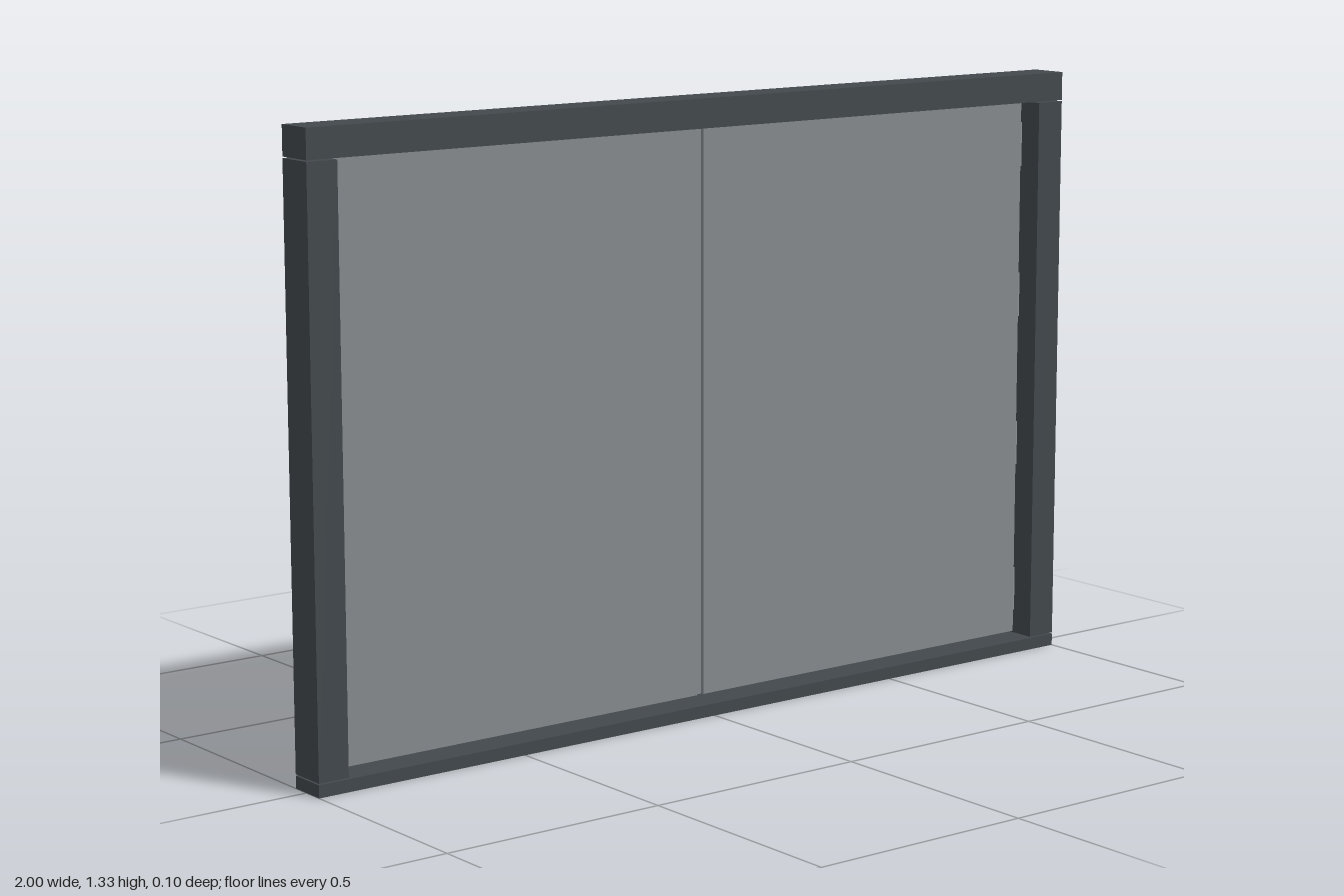
import * as THREE from 'three';

const flat = (name, color) => {
  const m = new THREE.MeshStandardMaterial({ color });
  m.name = name;
  return m;
};

export function createModel() {
  const root = new THREE.Group();
  root.name = 'doubleGate';

  const frameMat = flat('frame grey', 0x42484c);
  const panelMat = flat('panel grey', 0x858a8d);
  const ribMat = flat('rib dark grey', 0x3a3f43);
  const plateMat = flat('plate grey', 0x4b5154);
  const steelMat = flat('steel', 0x8d9295);
  const yellowMat = flat('warning yellow', 0xd8a31a);

  // Box given by its extents on each axis
  const box = (name, mat, [x0, x1], [y0, y1], [z0, z1], parent = root) => {
    const mesh = new THREE.Mesh(new THREE.BoxGeometry(Math.abs(x1 - x0), y1 - y0, z1 - z0), mat);
    mesh.position.set((x0 + x1) / 2, (y0 + y1) / 2, (z0 + z1) / 2);
    mesh.name = name;
    parent.add(mesh);
    return mesh;
  };

  const depth = [-0.039, 0.048];

  // Fixed frame
  box('header', frameMat, [-1, 1], [1.27, 1.333], depth);
  box('sill', frameMat, [-1, 1], [0, 0.027], depth);

  const boltGeo = new THREE.CylinderGeometry(0.006, 0.006, 0.006, 12).rotateX(Math.PI / 2);
  const hingeGeo = new THREE.CylinderGeometry(0.008, 0.008, 0.1, 12);

  for (const s of [1, -1]) {
    const side = new THREE.Group();
    side.name = s > 0 ? 'leftSide' : 'rightSide';
    root.add(side);
    const span = (a, b) => [s * a, s * b];

    // Post with its row of bolts
    box('post', frameMat, span(0.93, 1), [0.03, 1.267], depth, side);
    for (let i = 0; i < 8; i++) {
      const bolt = new THREE.Mesh(boltGeo, ribMat);
      bolt.position.set(s * 0.965, 0.1 + i * 0.158, -0.04);
      bolt.name = 'postBolt';
      side.add(bolt);
    }

    // Door leaf
    box('doorPanel', panelMat, span(0.008, 0.922), [0.036, 1.266], [-0.018, -0.002], side);

    // Stiffening ribs on the back
    for (let i = 0; i < 5; i++) {
      const y = 0.12 + i * 0.26;
      box('horizontalRib', ribMat, span(0.045, 0.883), [y - 0.0125, y + 0.0125], [-0.034, -0.018], side);
    }
    box('verticalRib', ribMat, span(0.451, 0.477), [0.09, 1.205], [-0.038, -0.018], side);

    // Sign plate and warning strip
    box('signPlate', plateMat, span(0.14, 0.42), [0.855, 0.985], [-0.023, -0.018], side);
    box('warningStrip', yellowMat, span(0.235, 0.697), [0.075, 0.108], [-0.023, -0.018], side);

    // Latches beside the meeting edge
    for (const y of [0.2, 0.63, 1.06]) {
      box('latch', panelMat, span(0.018, 0.046), [y - 0.023, y + 0.023], [-0.032, -0.018], side);
    }

    // Hinge barrels between post and leaf
    for (const y of [0.135, 0.48, 0.825, 1.17]) {
      const hinge = new THREE.Mesh(hingeGeo, steelMat);
      hinge.position.set(s * 0.926, y, -0.014);
      hinge.name = 'hinge';
      side.add(hinge);
    }
  }

  // Seal between the two leaves
  box('centreSeal', panelMat, [-0.006, 0.006], [0.036, 1.266], [-0.016, -0.008]);

  // Warning board on the back of the header, with slanted blocks and two lamps
  box('warningBoard', frameMat, [-0.6, 0.6], [1.277, 1.327], [-0.043, -0.039]);
  const stripeGeo = new THREE.BoxGeometry(0.034, 0.045, 0.003);
  for (let i = 0; i < 12; i++) {
    const stripe = new THREE.Mesh(stripeGeo, yellowMat);
    stripe.position.set(-0.55 + i * 0.1, 1.302, -0.0445);
    stripe.rotation.z = -0.52;
    stripe.name = 'warningStripe';
    root.add(stripe);
  }
  const lampGeo = new THREE.CylinderGeometry(0.011, 0.011, 0.006, 16).rotateX(Math.PI / 2);
  for (const x of [-0.4, 0.4]) {
    const lamp = new THREE.Mesh(lampGeo, yellowMat);
    lamp.position.set(x, 1.302, -0.045);
    lamp.name = 'lamp';
    root.add(lamp);
  }

  return root;
}
